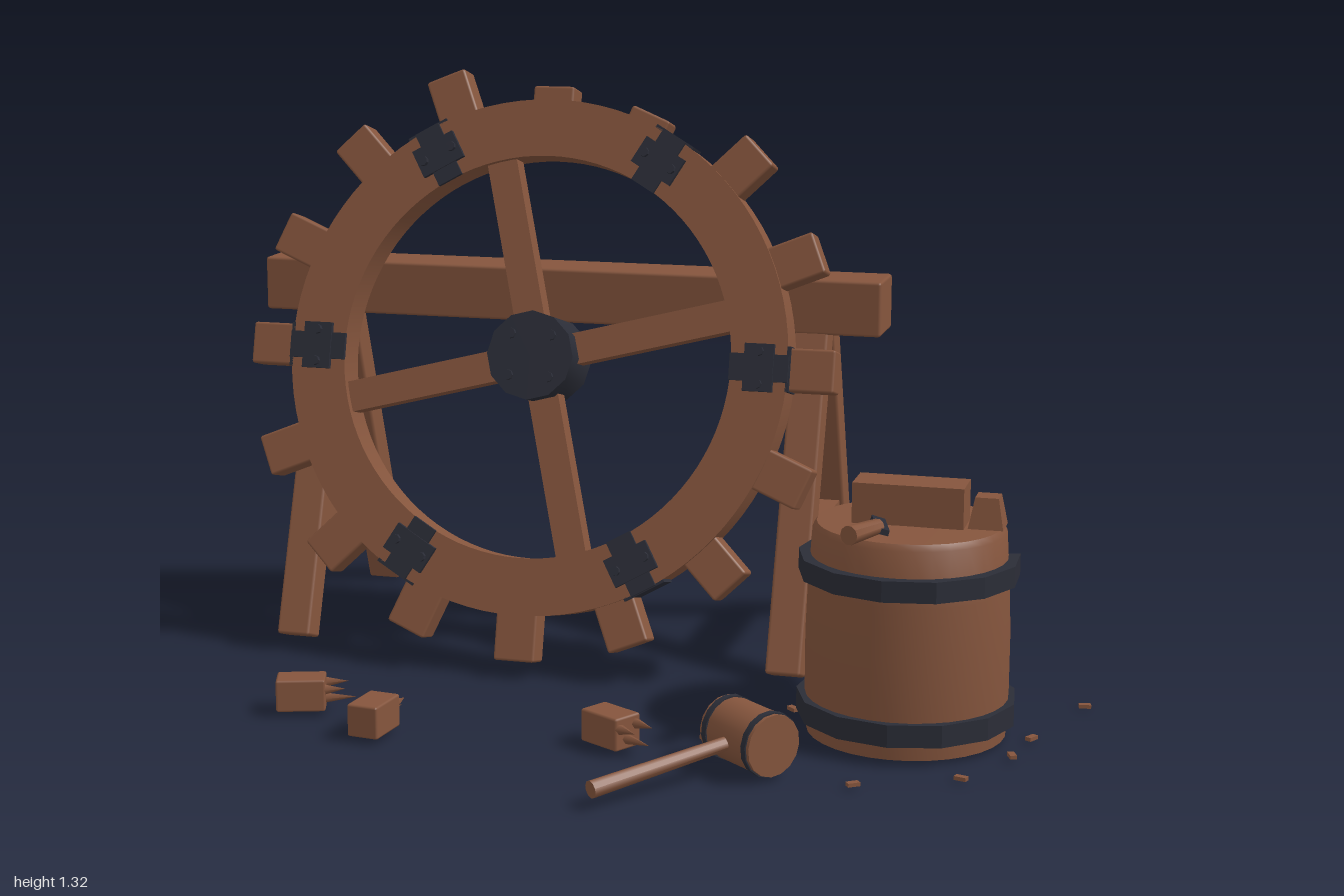
import * as THREE from 'three';
import { toCreasedNormals } from 'three/addons/utils/BufferGeometryUtils.js';
import { RoundedBoxGeometry } from 'three/addons/geometries/RoundedBoxGeometry.js';

const wood = new THREE.MeshStandardMaterial({ color: 0x85553d });
wood.name = 'brown wood';
const iron = new THREE.MeshStandardMaterial({ color: 0x2b2d37, side: THREE.DoubleSide });
iron.name = 'dark iron';

const V = (x, y, z) => new THREE.Vector3(x, y, z);
const UP = V(0, 1, 0);

function add(parent, name, geometry, material, x = 0, y = 0, z = 0) {
  const mesh = new THREE.Mesh(geometry, material);
  mesh.name = name;
  mesh.position.set(x, y, z);
  parent.add(mesh);
  return mesh;
}

function group(parent, name, x = 0, y = 0, z = 0) {
  const g = new THREE.Group();
  g.name = name;
  g.position.set(x, y, z);
  parent.add(g);
  return g;
}

const block = (w, h, d, r = 0.007) => new RoundedBoxGeometry(w, h, d, 1, r);
const box = (w, h, d) => new THREE.BoxGeometry(w, h, d);
const drum = (r0, r1, h, n) => toCreasedNormals(new THREE.CylinderGeometry(r0, r1, h, n), 0.7);

// Lays a part built along y between two points
function span(parent, name, a, b, make, material = wood) {
  const dir = b.clone().sub(a);
  const mesh = add(parent, name, make(dir.length()), material);
  mesh.position.copy(a).add(b).multiplyScalar(0.5);
  mesh.quaternion.setFromUnitVectors(UP, dir.normalize());
  return mesh;
}

function buildTrestle(root) {
  const g = group(root, 'trestle', 0, 0, -0.435);
  add(g, 'topBeam', block(1.48, 0.125, 0.142), wood, -0.26, 0.808, 0);
  for (const x of [-0.845, 0.32]) {
    for (const s of [1, -1]) {
      span(g, 'leg', V(x, 0.014, s * 0.3), V(x, 0.77, s * 0.024), (l) => block(0.08, l, 0.07));
    }
    add(g, 'crossBar', box(0.06, 0.06, 0.38), wood, x, 0.28, 0);
  }
}

function buildWheel(root) {
  const g = group(root, 'wheel', -0.265, 0.695, -0.19);
  g.rotation.x = -Math.PI / 12;

  // Rim
  const ring = new THREE.Shape().absarc(0, 0, 0.58, 0, Math.PI * 2, false);
  ring.holes.push(new THREE.Path().absarc(0, 0, 0.452, 0, Math.PI * 2, true));
  const rim = new THREE.ExtrudeGeometry(ring, { depth: 0.086, bevelEnabled: false, curveSegments: 48 });
  rim.translate(0, 0, -0.043);
  add(g, 'rim', toCreasedNormals(rim, 0.5), wood);

  // Teeth, two of them snapped short
  for (let i = 0; i < 16; i++) {
    const arm = group(g, 'tooth');
    arm.rotation.z = (i * Math.PI) / 8;
    const end = i === 3 ? 0.602 : i === 4 ? 0.612 : 0.682;
    add(arm, 'toothBlock', block(end - 0.54, 0.095, 0.07, 0.006), wood, (end + 0.54) / 2);
  }

  // Spokes
  for (let i = 0; i < 4; i++) {
    const arm = group(g, 'spoke');
    arm.rotation.z = ((14.5 + i * 90) * Math.PI) / 180;
    add(arm, 'spokeBar', box(0.42, 0.07, 0.05), wood, 0.25);
  }

  // Hub with bolts
  const hub = add(g, 'hub', drum(0.1, 0.1, 0.15, 12), iron);
  hub.rotation.x = Math.PI / 2;
  for (let i = 0; i < 4; i++) {
    const a = Math.PI / 4 + (i * Math.PI) / 2;
    const bolt = add(g, 'hubBolt', drum(0.012, 0.012, 0.012, 8), iron, 0.066 * Math.cos(a), 0.066 * Math.sin(a), 0.079);
    bolt.rotation.x = Math.PI / 2;
  }

  // Iron clamps over the rim joints
  for (let i = 0; i < 6; i++) {
    const arm = group(g, 'clamp');
    arm.rotation.z = (i * Math.PI) / 3;
    add(arm, 'clampPlate', box(0.066, 0.105, 0.014), iron, 0.516, 0, 0.048);
    add(arm, 'clampStrap', box(0.132, 0.06, 0.01), iron, 0.516, 0, 0.046);
    add(arm, 'clampEdge', box(0.008, 0.1, 0.07), iron, 0.58, 0, 0.008);
    for (const y of [-0.036, 0.036]) {
      const bolt = add(arm, 'clampBolt', drum(0.011, 0.011, 0.014, 8), iron, 0.516, y, 0.06);
      bolt.rotation.x = Math.PI / 2;
    }
  }
}

function buildBarrel(root) {
  const g = group(root, 'barrel', 0.637, 0, 0.14);
  const profile = [[0, 0.012], [0.208, 0.012], [0.212, 0.1], [0.212, 0.22], [0.208, 0.33],
    [0.2, 0.445], [0.192, 0.458], [0, 0.462]].map(([x, y]) => new THREE.Vector2(x, y));
  add(g, 'barrelBody', toCreasedNormals(new THREE.LatheGeometry(profile, 32), 0.6), wood);

  // Hoops, the upper one torn open
  const hoop = (name, y0, y1, start, length, n) => {
    const pts = [[0.2, y0], [0.23, y0], [0.23, y1], [0.2, y1], [0.2, y0]].map(([x, y]) => new THREE.Vector2(x, y));
    add(g, name, toCreasedNormals(new THREE.LatheGeometry(pts, n, start, length), 0.4), iron);
  };
  const deg = Math.PI / 180;
  hoop('upperHoop', 0.346, 0.39, 137 * deg, 328 * deg, 12);
  hoop('lowerHoop', 0.045, 0.092, 0, Math.PI * 2, 13);
}

function buildLidTools(root) {
  const g = group(root, 'lidTools');
  // Timber billet
  add(g, 'billet', box(0.23, 0.085, 0.094), wood, 0.64, 0.503, 0.148);
  // Wedge, narrower at the top
  const wedge = new THREE.CylinderGeometry(0.034, 0.051, 0.064, 4, 1, false, Math.PI / 4).toNonIndexed();
  wedge.computeVertexNormals();
  add(g, 'wedge', wedge, wood, 0.798, 0.492, 0.145);
  // Chisel
  span(g, 'chiselBlade', V(0.578, 0.471, 0.19), V(0.607, 0.473, 0.3), (l) => box(0.028, l, 0.012), iron);
  span(g, 'chiselHandle', V(0.595, 0.48, 0.285), V(0.555, 0.483, 0.385), (l) => drum(0.02, 0.016, l, 10));
}

function buildMallet(root) {
  const g = group(root, 'mallet');
  const c = V(0.375, 0.078, 0.462);
  const axis = V(0.77, 0, 0.64).normalize();
  const at = (t) => c.clone().addScaledVector(axis, t);
  span(g, 'malletHead', at(-0.08), at(0.08), (l) => drum(0.064, 0.064, l, 16));
  for (const s of [-1, 1]) {
    span(g, 'malletBand', at(s * 0.058), at(s * 0.072), (l) => drum(0.067, 0.067, l, 16), iron);
  }
  span(g, 'malletHandle', c, V(0.13, 0.043, 0.755), (l) => drum(0.018, 0.014, l, 10));
}

function buildDebris(root) {
  const g = group(root, 'debris');
  // Snapped teeth with splintered ends: x, z, heading
  for (const [x, z, turn] of [[-0.63, 0.36, 0.33], [-0.425, 0.465, 1.45], [0.07, 0.405, -0.53]]) {
    const piece = group(g, 'brokenTooth', x, 0.05, z);
    piece.rotation.y = turn;
    add(piece, 'brokenBlock', block(0.105, 0.07, 0.07, 0.005), wood);
    [[-0.022, 0.015, 0.05], [0.004, -0.012, 0.068], [0.023, 0.012, 0.045]].forEach(([dz, dy, l]) => {
      const tip = add(piece, 'splinter', new THREE.ConeGeometry(0.012, l, 5), wood, 0.05 + l / 2, dy, dz);
      tip.rotation.z = -Math.PI / 2;
    });
  }
  // Wood chips around the barrel
  const chips = [[0.43, -0.09], [0.55, -0.17], [0.76, -0.205], [0.985, -0.1], [0.9, 0.14],
    [0.875, 0.26], [0.795, 0.42], [0.595, 0.51], [0.245, 0.305], [0.385, 0.085]];
  chips.forEach(([x, z], i) => {
    add(g, 'chip', box(0.026, 0.008, 0.014), wood, x, 0.014, z).rotation.y = i * 0.9 + 0.6;
  });
}

export function createModel() {
  const root = new THREE.Group();
  root.name = 'wheelwrightWorkshop';
  buildTrestle(root);
  buildWheel(root);
  buildBarrel(root);
  buildLidTools(root);
  buildMallet(root);
  buildDebris(root);
  return root;
}
